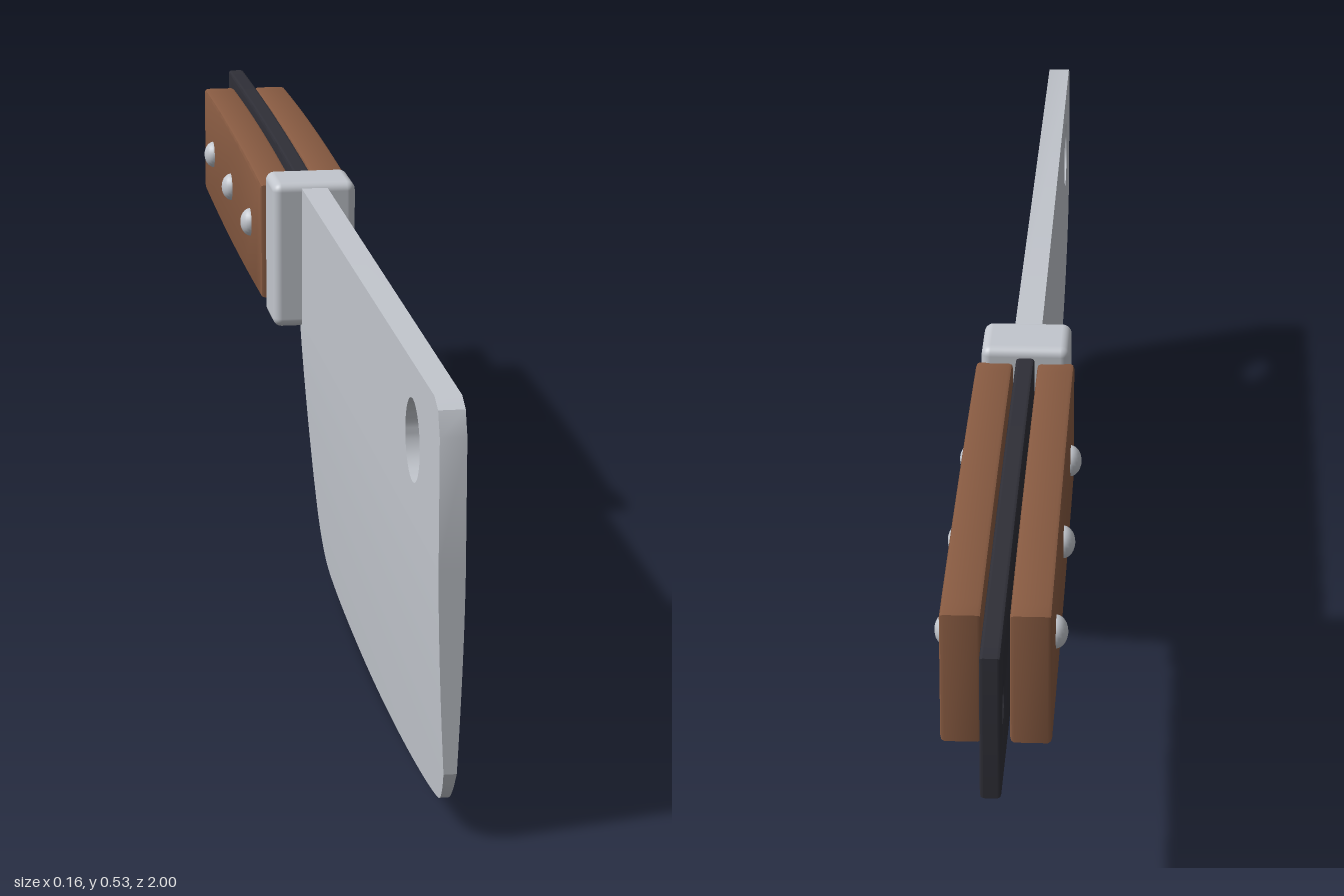
import * as THREE from 'three';
import { toCreasedNormals } from 'three/addons/utils/BufferGeometryUtils.js';
import { RoundedBoxGeometry } from 'three/addons/geometries/RoundedBoxGeometry.js';

// Side-profile outlines are drawn as (z, y) and extruded along x
function plate(shape, centreX, width, bevel) {
  const depth = width - 2 * bevel;
  const geo = new THREE.ExtrudeGeometry(shape, {
    depth, curveSegments: 24, bevelEnabled: bevel > 0,
    bevelSize: bevel, bevelThickness: bevel, bevelOffset: -bevel, bevelSegments: 2,
  });
  geo.translate(0, 0, -depth / 2).rotateY(-Math.PI / 2).translate(centreX, 0, 0);
  return toCreasedNormals(geo, 0.5);
}

function addHole(shape, z, y, r) {
  shape.holes.push(new THREE.Path().absarc(z, y, r, 0, Math.PI * 2, true));
}

// Handle outline with gently bowed top and bottom
function bowedShape(z0, z1, half, bow) {
  const y = 0.425, mid = (z0 + z1) / 2;
  const s = new THREE.Shape();
  s.moveTo(z0, y - half);
  s.quadraticCurveTo(mid, y - half - 2 * bow, z1, y - half);
  s.lineTo(z1, y + half);
  s.quadraticCurveTo(mid, y + half + 2 * bow, z0, y + half);
  return s;
}

// Blade half thickness: thins toward the edge and slightly toward the tip
const SPLIT = 0.33;
const tipTaper = (z) => 1 - 0.15 * (z + 0.12) / 1.12;
function halfThickness(y, z) {
  const t = Math.min(y / SPLIT, 1);
  return (0.003 + 0.015 * (1 - Math.pow(1 - t, 1.6))) * tipTaper(z);
}

// Upper, flat part of the blade with the hanging hole
function bladeUpper() {
  const s = new THREE.Shape();
  s.moveTo(-0.12, SPLIT);
  s.lineTo(1, SPLIT);
  s.lineTo(1, 0.482);
  s.lineTo(0.988, 0.51);
  s.lineTo(0.965, 0.52);
  s.lineTo(-0.12, 0.52);
  addHole(s, 0.825, 0.428, 0.049);
  const geo = plate(s, 0, 0.036, 0);
  const p = geo.attributes.position;
  for (let i = 0; i < p.count; i++) p.setX(i, p.getX(i) * tipTaper(p.getZ(i)));
  return toCreasedNormals(geo, 0.5);
}

// Lower part: V-shaped sections following the curved cutting edge
function bladeLower() {
  const edge = new THREE.CatmullRomCurve3([
    [-0.105, 0.327], [-0.055, 0.21], [-0.01, 0.105], [0.015, 0.062], [0.055, 0.03], [0.12, 0.015],
    [0.4, 0.002], [0.7, 0.012], [0.92, 0.035], [0.965, 0.046], [0.985, 0.064], [1, 0.088],
  ].map(([z, y]) => new THREE.Vector3(0, y, z)), false, 'centripetal').getPoints(55);
  const rows = 10, loop = 2 * rows + 2;
  const pos = [], idx = [];
  for (const e of edge) {
    for (let k = 0; k < loop; k++) {
      const j = k <= rows ? k : loop - 1 - k;
      const y = THREE.MathUtils.lerp(SPLIT, e.y, j / rows);
      pos.push(halfThickness(y, e.z) * (k <= rows ? 1 : -1), y, e.z);
    }
  }
  for (let i = 0; i < edge.length - 1; i++) {
    for (let k = 0; k < loop - 1; k++) {
      const a = i * loop + k, b = a + loop;
      idx.push(a, b, a + 1, b, b + 1, a + 1);
    }
  }
  // Front end
  const base = (edge.length - 1) * loop;
  for (let j = 0; j < rows; j++) {
    const l = base + j, r = base + loop - 1 - j;
    idx.push(l, r, r - 1, l, r - 1, l + 1);
  }
  const geo = new THREE.BufferGeometry();
  geo.setAttribute('position', new THREE.Float32BufferAttribute(pos, 3));
  geo.setIndex(idx);
  return toCreasedNormals(geo, 0.5);
}

export function createModel() {
  const model = new THREE.Group();
  model.name = 'cleaver';
  const material = (name, color) => {
    const m = new THREE.MeshStandardMaterial({ color });
    m.name = name;
    return m;
  };
  const steel = material('steel', 0xc2c6cd);
  const wood = material('brown wood', 0x875a41);
  const black = material('black tang', 0x2f2f37);

  const add = (name, geo, mat, parent = model) => {
    const mesh = new THREE.Mesh(geo, mat);
    mesh.name = name;
    parent.add(mesh);
    return mesh;
  };

  // Blade
  const blade = new THREE.Group();
  blade.name = 'blade';
  model.add(blade);
  add('bladeUpper', bladeUpper(), steel, blade);
  add('bladeEdge', bladeLower(), steel, blade);

  // Bolster between blade and handle
  add('bolster', new RoundedBoxGeometry(0.115, 0.204, 0.094, 4, 0.012), steel)
    .position.set(0, 0.425, -0.13);

  // Tang running through the handle, with a hanging hole at its end
  const tang = bowedShape(-1, -0.15, 0.088, 0.006);
  addHole(tang, -0.938, 0.425, 0.026);
  add('tang', plate(tang, 0, 0.024, 0.004), black);

  // Handle scales and rivet heads on both sides
  for (const side of [1, -1]) {
    const label = side > 0 ? 'left' : 'right';
    add(label + 'HandleScale',
      plate(bowedShape(-0.886, -0.174, 0.081, 0.006), side * 0.04, 0.048, 0.005), wood);
    for (const z of [-0.298, -0.532, -0.766]) {
      const head = add(label + 'RivetHead', new THREE.SphereGeometry(0.02, 20, 14), steel);
      head.scale.x = 0.75;
      head.position.set(side * 0.063, 0.425, z);
    }
  }

  // Rivet pins through the handle
  for (const z of [-0.298, -0.532, -0.766]) {
    const pin = add('rivetPin', new THREE.CylinderGeometry(0.016, 0.016, 0.12, 20), steel);
    pin.rotation.z = Math.PI / 2;
    pin.position.set(0, 0.425, z);
  }
  return model;
}
